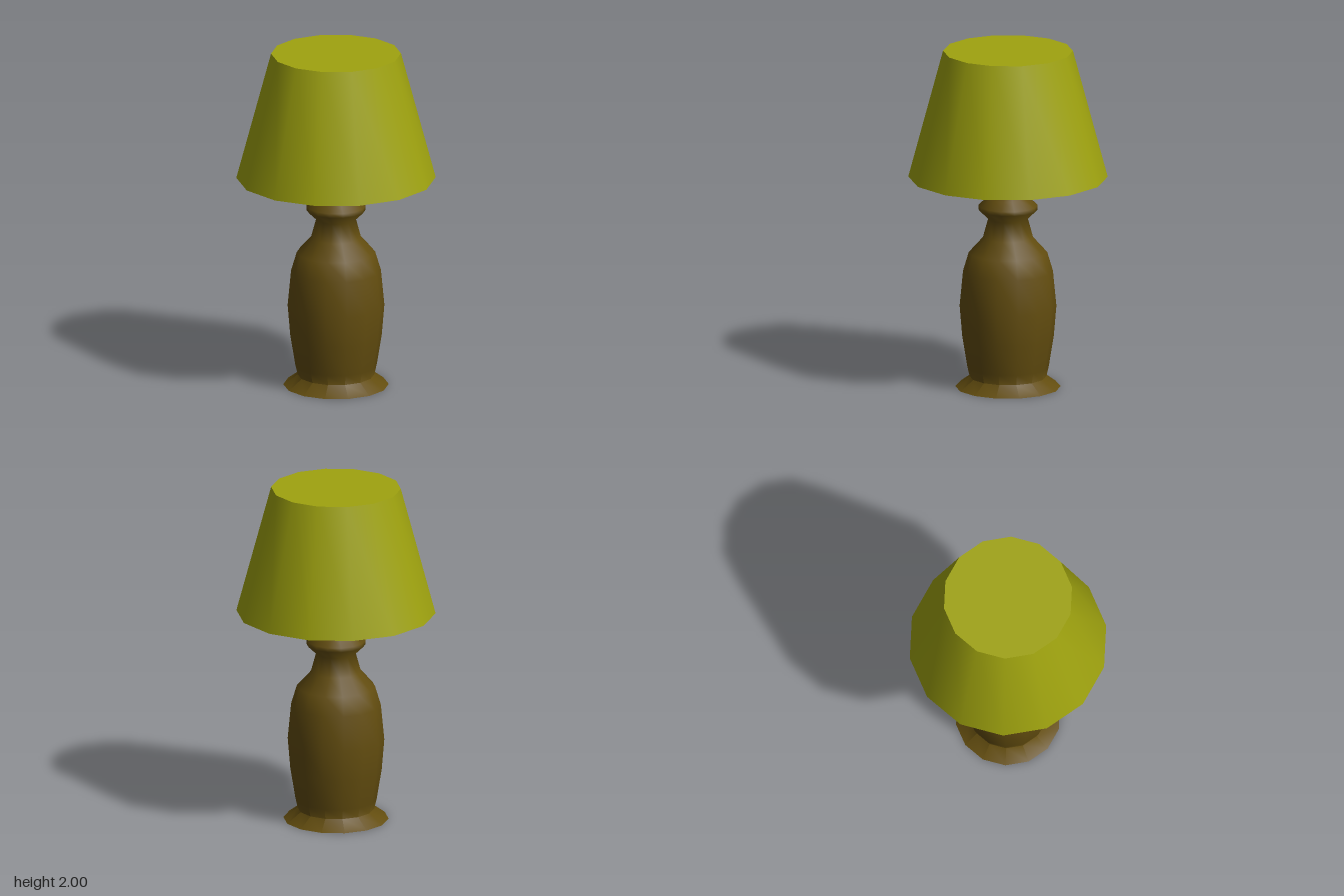
import * as THREE from 'three';
import { toCreasedNormals } from 'three/addons/utils/BufferGeometryUtils.js';

const SIDES = 14;

// Turned part from [radius, height] pairs, listed so that faces point outward
function turned(name, profile, color, crease) {
  const points = profile.map(([r, y]) => new THREE.Vector2(r, y));
  const geometry = toCreasedNormals(new THREE.LatheGeometry(points, SIDES), crease);
  const mesh = new THREE.Mesh(geometry, new THREE.MeshStandardMaterial({ color }));
  mesh.name = name;
  return mesh;
}

export function createModel() {
  const lamp = new THREE.Group();
  lamp.name = 'tableLamp';

  // Foot, vase-shaped body, collar and neck
  lamp.add(turned('base', [
    [0, 0], [0.305, 0], [0.222, 0.06], [0.236, 0.12], [0.265, 0.3],
    [0.28, 0.48], [0.26, 0.69], [0.227, 0.8], [0.145, 0.89], [0.115, 1.0],
    [0.172, 1.055], [0.172, 1.08], [0.115, 1.125], [0.055, 1.205], [0.05, 1.33],
  ], 0x634d0f, 1.2));

  // Socket and the rod that carries the shade
  lamp.add(turned('socketAndRod', [
    [0.05, 1.33], [0.07, 1.46], [0.07, 1.5], [0.046, 1.54], [0.046, 1.99],
  ], 0x634d0f, 1.2));

  // Thin-walled shade, closed on top and open below
  lamp.add(turned('shade', [
    [0, 1.988], [0.366, 1.988], [0.565, 1.25], [0.577, 1.25], [0.376, 2], [0, 2],
  ], 0x9fa30f, 0.7));

  return lamp;
}
